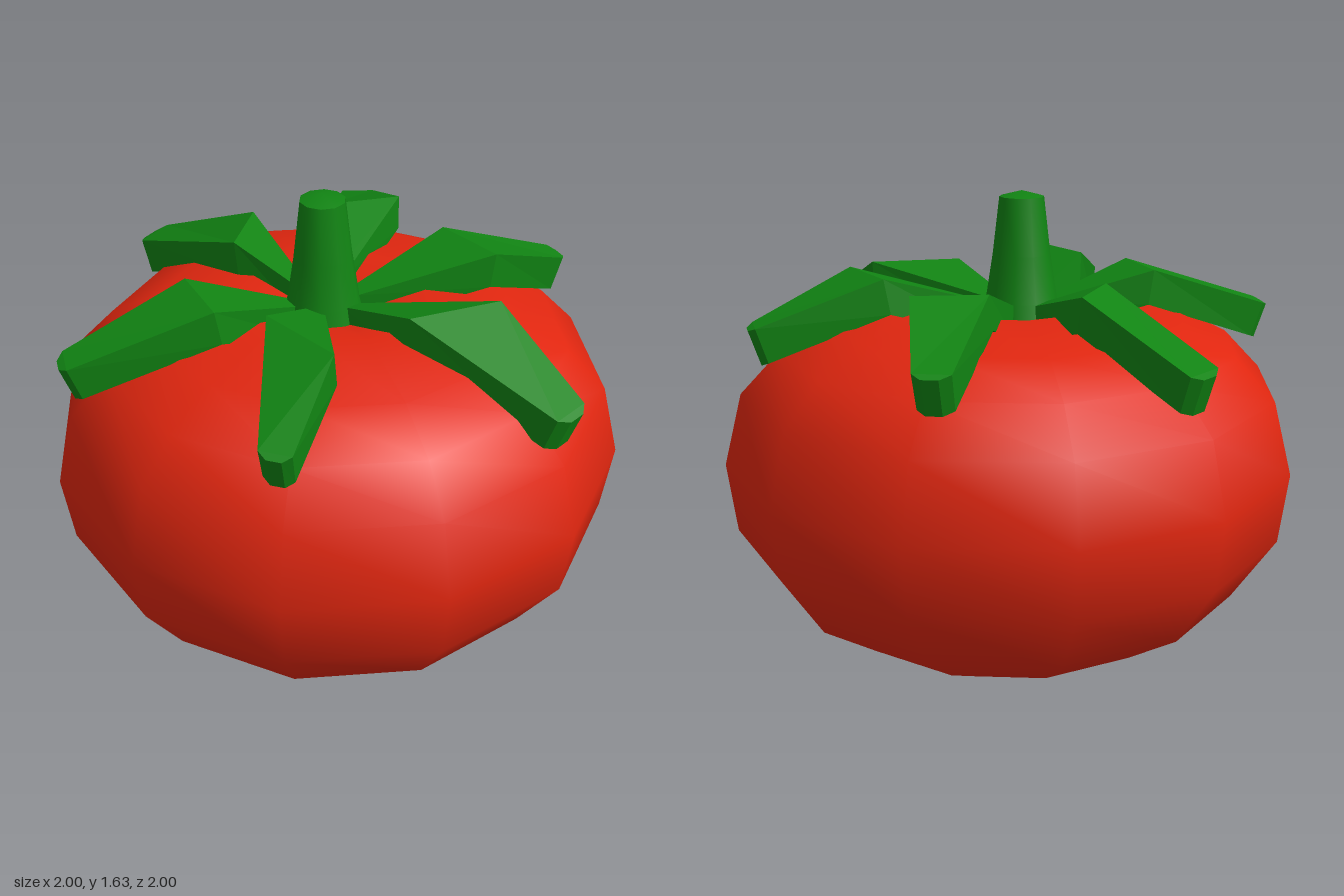
import * as THREE from 'three';
import { toCreasedNormals } from 'three/addons/utils/BufferGeometryUtils.js';

const red = new THREE.MeshStandardMaterial({ color: 0xe0260f });
red.name = 'tomato red';
const green = new THREE.MeshStandardMaterial({ color: 0x118413 });
green.name = 'leaf green';

const STEM = { x: -0.02, z: 0.04 };

function lathe(points, sides) {
  return new THREE.LatheGeometry(points.map(([r, y]) => new THREE.Vector2(r, y)), sides);
}

// Each leaf seen from above: left and right edge at the bend, then at the tip, and the two heights
const LEAVES = [
  { bend: [0.54, -0.19, 0.38, 0.09], tip: [0.93, -0.09, 0.92, 0.05], bendY: 1.34, tipY: 1.15 },
  { bend: [-0.38, 0.09, -0.49, -0.13], tip: [-0.9, 0.05, -0.92, -0.1], bendY: 1.36, tipY: 1.17 },
  { bend: [-0.3, -0.35, -0.15, -0.55], tip: [-0.54, -0.7, -0.45, -0.78], bendY: 1.37, tipY: 1.21 },
  { bend: [0.12, -0.45, 0.38, -0.4], tip: [0.33, -0.82, 0.43, -0.77], bendY: 1.37, tipY: 1.21 },
  { bend: [0.36, 0.44, 0.05, 0.4], tip: [0.47, 0.76, 0.37, 0.8], bendY: 1.37, tipY: 1.21 },
  { bend: [-0.1, 0.48, -0.33, 0.38], tip: [-0.39, 0.86, -0.49, 0.79], bendY: 1.36, tipY: 1.2 },
];

// Four corners of a leaf section: top left, top right, bottom right, bottom left
function section([lx, lz, rx, rz], y, inset, spread) {
  const mx = (lx + rx) / 2, mz = (lz + rz) / 2;
  const low = (x, z) => [
    (mx + (x - mx) * spread) * inset, y - 0.12, (mz + (z - mz) * spread) * inset];
  return [[lx, y, lz], [rx, y, rz], low(rx, rz), low(lx, lz)];
}

function leafGeometry({ bend, tip, bendY, tipY }) {
  // The root narrows towards the stem
  const root = bend.map((v, i) => {
    const c = i % 2 ? STEM.z : STEM.x;
    return c + (v - c) * 0.2;
  });
  // A short rounded end beyond the tip
  const [lx, lz, rx, rz] = tip;
  const end = [lx + (rx - lx) * 0.28, lz + (rz - lz) * 0.28,
    rx + (lx - rx) * 0.28, rz + (lz - rz) * 0.28].map((v) => v * 1.025);
  const rings = [
    section(root, 1.25, 1, 1.05),
    section(bend, bendY, 0.96, 1.08),
    section(tip, tipY + 0.012, 0.957, 1),
    section(end, tipY, 0.957, 1),
  ];
  const pos = [];
  const quad = (a, b, c, d) => pos.push(...a, ...b, ...c, ...a, ...c, ...d);
  for (let s = 0; s < rings.length - 1; s++) {
    for (let i = 0; i < 4; i++) {
      const j = (i + 1) % 4;
      quad(rings[s][i], rings[s][j], rings[s + 1][j], rings[s + 1][i]);
    }
  }
  const last = rings[rings.length - 1];
  quad(last[0], last[1], last[2], last[3]);
  const first = rings[0];
  quad(first[3], first[2], first[1], first[0]);
  const geometry = new THREE.BufferGeometry();
  geometry.setAttribute('position', new THREE.Float32BufferAttribute(pos, 3));
  geometry.computeVertexNormals();
  return geometry;
}

export function createModel() {
  const model = new THREE.Group();
  model.name = 'tomato';

  // Fruit with a flat base and a shallow dip on top
  const fruit = new THREE.Mesh(lathe([
    [0, 0], [0.4, 0], [0.61, 0.11], [0.82, 0.25], [0.97, 0.475], [1, 0.72],
    [0.935, 0.97], [0.8, 1.11], [0.62, 1.2], [0.32, 1.255], [0.12, 1.2], [0, 1.18],
  ], 12), red);
  fruit.name = 'fruit';
  model.add(fruit);

  // Tapered stem
  const stem = new THREE.Mesh(toCreasedNormals(lathe([
    [0.15, 1.15], [0.125, 1.26], [0.1, 1.42], [0.077, 1.615], [0, 1.635],
  ], 10), 0.8), green);
  stem.name = 'stem';
  stem.position.set(STEM.x, 0, STEM.z);
  model.add(stem);

  // Ring of six bent leaves
  const leaves = new THREE.Group();
  leaves.name = 'leaves';
  for (const spec of LEAVES) {
    const leaf = new THREE.Mesh(leafGeometry(spec), green);
    leaf.name = 'leaf';
    leaves.add(leaf);
  }
  model.add(leaves);

  return model;
}
